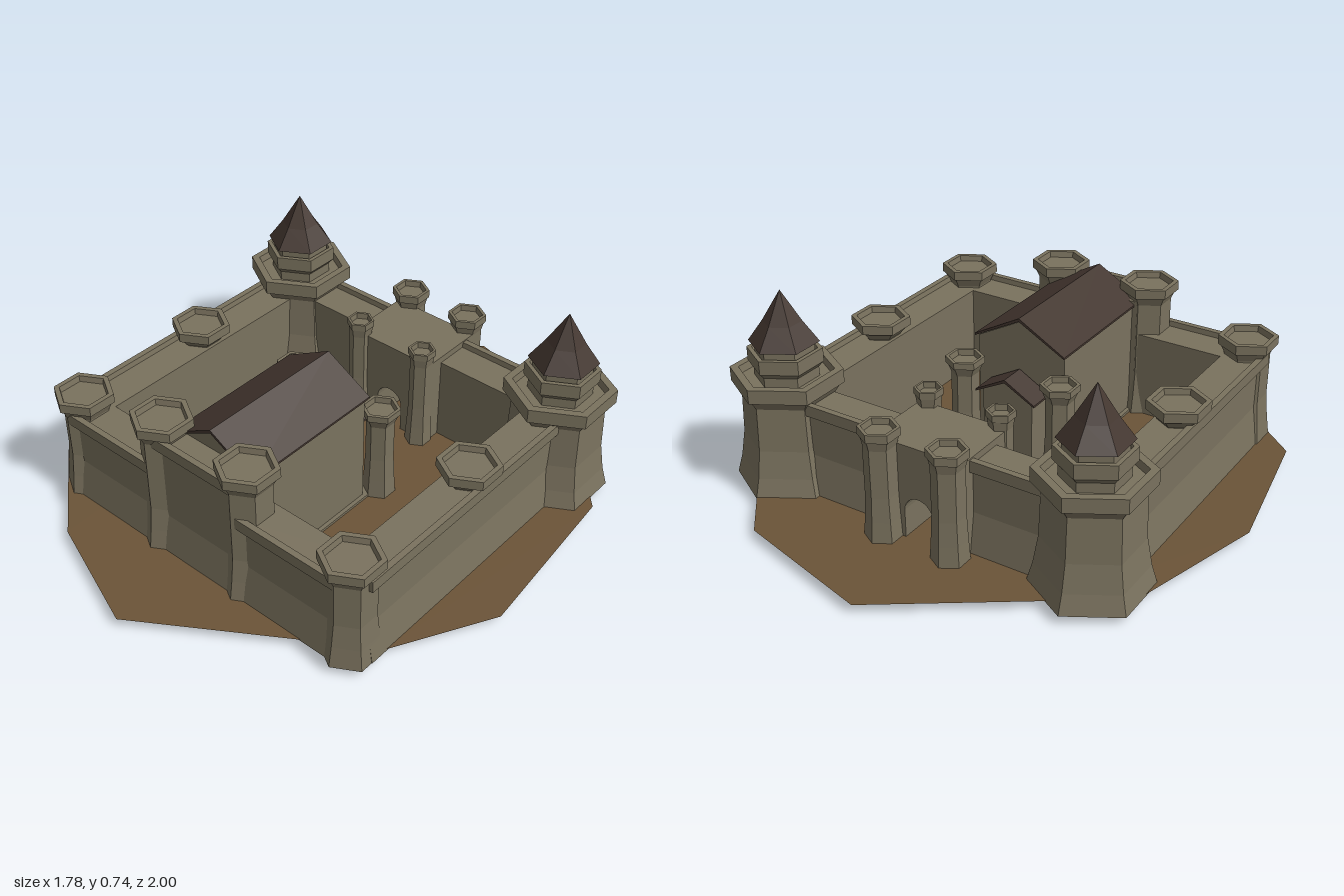
import * as THREE from 'three';

const stone = new THREE.MeshStandardMaterial({ color: 0x7a725e, flatShading: true });
const roofMat = new THREE.MeshStandardMaterial({ color: 0x43362f, flatShading: true });
const earth = new THREE.MeshStandardMaterial({ color: 0x6b5438, flatShading: true, side: THREE.DoubleSide });
const BASE = 0.03;

export function createModel() {
  const root = new THREE.Group();
  root.name = 'castle';

  const add = (name, geometry, material, x = 0, y = 0, z = 0, parent = root) => {
    const mesh = new THREE.Mesh(geometry, material);
    mesh.name = name;
    mesh.position.set(x, y, z);
    parent.add(mesh);
    return mesh;
  };
  const lathe = (points) =>
    new THREE.LatheGeometry(points.map(([r, y]) => new THREE.Vector2(r, y)), 6);
  const polygon = (points) => new THREE.Shape(points.map(([x, y]) => new THREE.Vector2(x, y)));
  const extrude = (shape, depth) =>
    new THREE.ExtrudeGeometry(shape, { depth, bevelEnabled: false, curveSegments: 6 });

  // Uneven ground slab
  const ground = polygon([
    [-0.03, -1], [0.49, -0.86], [0.63, -0.69], [0.83, -0.46], [0.89, 0.18], [0.7, 0.53],
    [-0.03, 1], [-0.46, 0.84], [-0.8, 0.55], [-0.895, 0], [-0.76, -0.48], [-0.53, -0.66],
  ].map(([x, z]) => [x, -z]));
  add('ground', new THREE.ShapeGeometry(ground).rotateX(-Math.PI / 2), earth, 0, 0.035, 0);

  // Six-sided tower: flared foot, shaft, projecting collar and sunken top
  const tower = (name, x, z, top, foot, body, collar, lip = 0.035) =>
    add(name, lathe([
      [0, BASE], [foot, BASE], [body + (foot - body) * 0.45, 0.11], [body, 0.2],
      [body, top - lip - 0.035], [collar * 0.92, top - lip], [collar, top - lip], [collar, top],
      [collar * 0.82, top], [collar * 0.78, top - 0.022], [0, top - 0.022],
    ]), stone, x, 0, z);

  tower('frontCornerTowerRight', -0.6, 0.59, 0.435, 0.104, 0.083, 0.108);
  tower('frontCornerTowerLeft', 0.61, 0.595, 0.435, 0.104, 0.083, 0.108);
  tower('frontGateTowerRight', -0.19, 0.6, 0.548, 0.104, 0.083, 0.108);
  tower('frontGateTowerLeft', 0.185, 0.595, 0.548, 0.104, 0.083, 0.108);
  tower('sideTowerRight', -0.6, 0.03, 0.432, 0.085, 0.07, 0.109);
  tower('sideTowerLeft', 0.617, 0.02, 0.432, 0.085, 0.07, 0.109);
  tower('hallTowerRight', -0.19, -0.04, 0.405, 0.06, 0.05, 0.07, 0.025);
  tower('hallTowerLeft', 0.2, -0.04, 0.405, 0.06, 0.05, 0.07, 0.025);
  tower('rearGateTowerRight', -0.145, -0.64, 0.443, 0.066, 0.056, 0.07, 0.03);
  tower('rearGateTowerLeft', 0.115, -0.645, 0.443, 0.066, 0.056, 0.07, 0.03);
  tower('rearGateTurretRight', -0.155, -0.355, 0.445, 0.05, 0.041, 0.05, 0.025);
  tower('rearGateTurretLeft', 0.13, -0.355, 0.445, 0.05, 0.041, 0.05, 0.025);

  // Great rear towers with a second drum and a spire
  for (const [side, x] of [['Right', -0.585], ['Left', 0.617]]) {
    const great = new THREE.Group();
    great.name = 'greatTower' + side;
    great.position.set(x, 0, -0.502);
    root.add(great);
    add('towerBody', lathe([
      [0, BASE], [0.205, BASE], [0.185, 0.1], [0.168, 0.2], [0.162, 0.36],
      [0.185, 0.395], [0.195, 0.395], [0.195, 0.447], [0.165, 0.447], [0.16, 0.42], [0, 0.42],
    ]), stone, 0, 0, 0, great);
    add('upperDrum', lathe([
      [0, 0.42], [0.112, 0.42], [0.112, 0.455], [0.13, 0.475], [0.13, 0.525],
      [0.113, 0.525], [0.108, 0.51], [0.103, 0.51], [0.103, 0.555], [0, 0.555],
    ]), stone, 0, 0, 0, great);
    add('spire', lathe([[0, 0.55], [0.122, 0.55], [0.068, 0.625], [0, 0.737]]),
      roofMat, 0, 0, 0, great);
  }

  // Curtain wall: battered foot, walkway and parapet on the outer edge.
  // The section is drawn with +x outwards, then turned to follow its side.
  const wall = (name, x, z, length, angle, top = 0.38) => {
    const section = polygon([
      [-0.073, BASE], [0.085, BASE], [0.062, 0.18], [0.062, top - 0.046], [0.08, top - 0.042],
      [0.08, top], [0.058, top], [0.055, top - 0.02], [-0.073, top - 0.02],
    ]);
    const geometry = extrude(section, length).translate(0, 0, -length / 2);
    add(name, geometry, stone, x, 0, z).rotation.y = angle;
  };
  const Q = Math.PI / 2;
  wall('leftWall', 0.617, 0.05, 1.1, 0);
  wall('rightWall', -0.6, 0.05, 1.1, Math.PI);
  wall('frontWallRight', -0.395, 0.592, 0.41, -Q);
  wall('frontWallLeft', 0.398, 0.592, 0.42, -Q);
  wall('frontGateWall', 0, 0.592, 0.37, -Q, 0.508);
  wall('rearWallRight', -0.38, -0.5, 0.4, Q);
  wall('rearWallLeft', 0.39, -0.5, 0.46, Q);

  // Rear gatehouse pierced by an arched passage
  const gate = polygon([[-0.185, BASE], [0.165, BASE], [0.165, 0.385], [-0.185, 0.385]]);
  const arch = new THREE.Path();
  arch.moveTo(-0.065, BASE + 0.001);
  arch.lineTo(-0.065, 0.14);
  arch.absarc(-0.01, 0.14, 0.055, Math.PI, 0, true);
  arch.lineTo(0.045, BASE + 0.001);
  arch.closePath();
  gate.holes.push(arch);
  add('rearGatehouse', extrude(gate, 0.265), stone, 0, 0, -0.62);

  // Great hall: gabled body, foundation frame and pitched roof
  const hallBody = polygon([
    [-0.165, BASE + 0.01], [0.185, BASE + 0.01], [0.185, 0.465], [0.01, 0.56], [-0.165, 0.465],
  ]);
  add('hallWalls', extrude(hallBody, 0.535), stone, 0, 0, 0.03);
  const frame = polygon([[-0.18, -0.6], [0.2, -0.6], [0.2, 0.01], [-0.18, 0.01]]);
  frame.holes.push(polygon([[-0.15, -0.57], [-0.15, -0.02], [0.17, -0.02], [0.17, -0.57]]));
  add('hallFoundation', extrude(frame, 0.045).rotateX(-Q), stone);

  // Pitched roof section around a ridge at the given height
  const gable = (half, eave, ridge, thick) => polygon([
    [-half, eave], [0, ridge - thick], [half, eave], [half, eave + 0.008], [0, ridge], [-half, eave + 0.008],
  ]);
  add('hallRoof', extrude(gable(0.183, 0.467, 0.577, 0.012), 0.565), roofMat, 0.01, 0, 0.013);

  // Rear porch of the hall
  add('porchBody', extrude(polygon([
    [-0.1, BASE], [0.1, BASE], [0.1, 0.31], [0, 0.365], [-0.1, 0.31],
  ]), 0.09), stone, 0.01, 0, -0.06);
  add('porchRoof', extrude(gable(0.12, 0.305, 0.38, 0.012), 0.1), roofMat, 0.01, 0, -0.08);

  return root;
}
